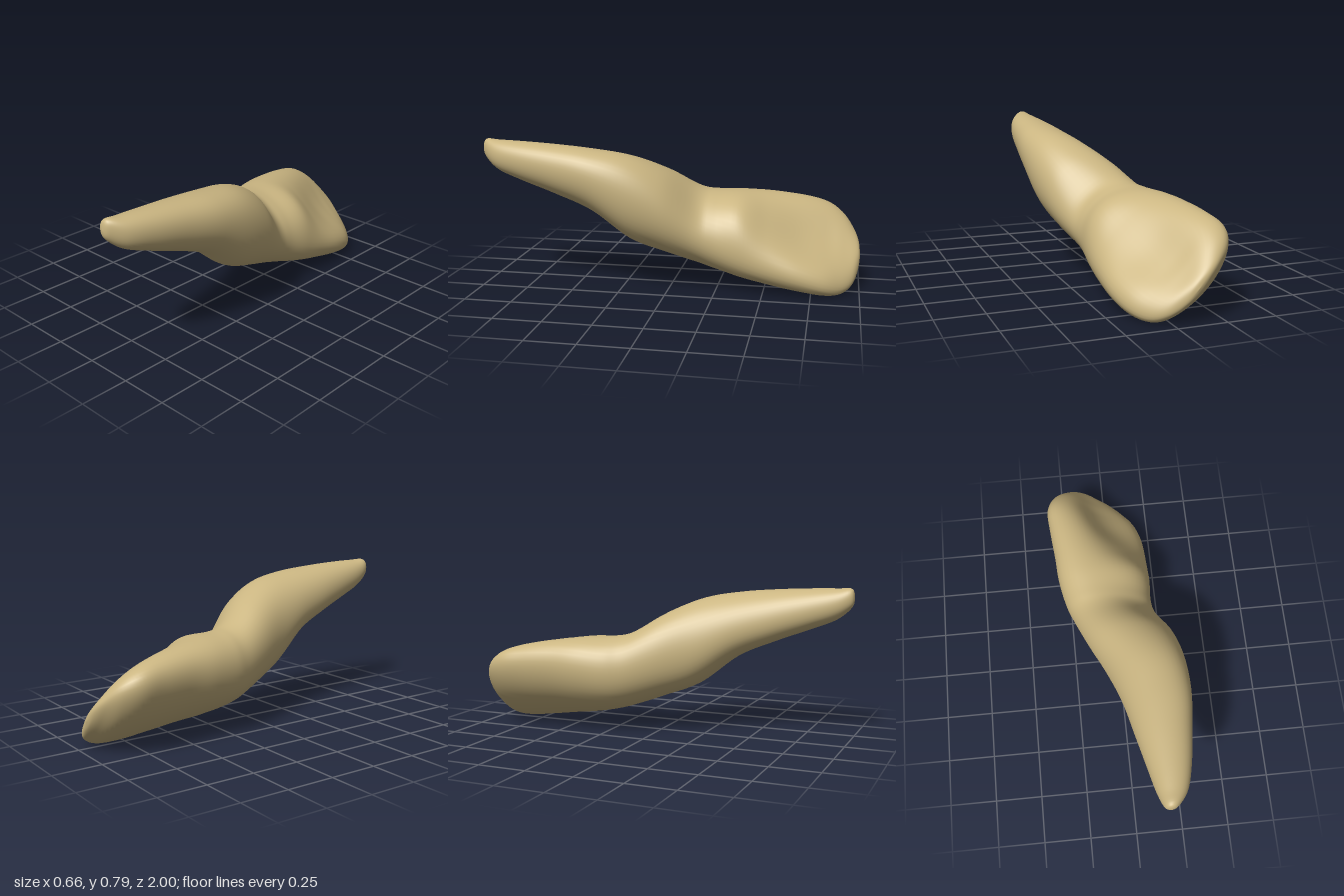
import * as THREE from 'three';
import { mergeVertices } from 'three/addons/utils/BufferGeometryUtils.js';

// Cross-sections along the tooth: z, xMin, xMax, yMin, yMax, skew, hollow
// skew leans the oval along a diagonal; hollow presses in the upper +x side
// (a negative hollow swells it)
const ROOT = [
  [1.0, 0.15, 0.15, 0.73, 0.73, 0.05, 0],
  [0.985, 0.118, 0.185, 0.685, 0.782, 0.05, 0],
  [0.91, 0.09, 0.24, 0.622, 0.782, 0.05, 0],
  [0.78, 0.06, 0.275, 0.568, 0.778, 0.1, 0],
  [0.6, 0.02, 0.302, 0.5, 0.768, 0.15, 0],
  [0.4, -0.025, 0.325, 0.412, 0.75, 0.18, 0],
  [0.2, -0.09, 0.32, 0.26, 0.715, 0.16, 0],
  [0.02, -0.17, 0.285, 0.187, 0.64, 0.1, 0.01],
  [-0.14, -0.235, 0.225, 0.13, 0.54, 0, 0.04],
];
const CROWN = [
  [-0.24, -0.272, 0.205, 0.1, 0.512, -0.12, 0.015],
  [-0.38, -0.3, 0.21, 0.068, 0.503, -0.27, -0.015],
  [-0.52, -0.31, 0.213, 0.045, 0.492, -0.38, 0.04],
  [-0.68, -0.325, 0.207, 0.02, 0.468, -0.47, 0.1],
  [-0.81, -0.33, 0.172, 0.003, 0.43, -0.58, 0.1],
  [-0.9, -0.29, 0.11, 0.006, 0.37, -0.7, 0.06],
  [-0.96, -0.22, 0.04, 0.045, 0.295, -0.82, 0.02],
  [-0.99, -0.16, -0.04, 0.105, 0.235, -0.86, 0],
  [-1.0, -0.1, -0.1, 0.17, 0.17, -0.86, 0],
];
const SIDES = 48;
const STEPS = 6;
const FULLNESS = 0.03; // swells the ovals slightly at their diagonals

// Smooth value between stations
function blend(p0, p1, p2, p3, t) {
  const v0 = (p2 - p0) / 2, v1 = (p3 - p1) / 2;
  return (2 * p1 - 2 * p2 + v0 + v1) * t ** 3
    + (3 * p2 - 3 * p1 - 2 * v0 - v1) * t ** 2 + v0 * t + p1;
}

function sectionAt(keys, u) {
  const last = keys.length - 1;
  const i = Math.min(Math.floor(u), last - 1);
  const k = (n) => keys[Math.max(0, Math.min(last, n))];
  return keys[0].map((_, c) => blend(k(i - 1)[c], k(i)[c], k(i + 1)[c], k(i + 2)[c], u - i));
}

function toothGeometry() {
  const keys = [...ROOT, ...CROWN];
  const rows = (keys.length - 1) * STEPS;
  const positions = [], index = [];
  for (let i = 0; i <= rows; i++) {
    const [z, x0, x1, y0, y1, skew, hollow] = sectionAt(keys, i / STEPS);
    const phase = Math.asin(skew);
    // parameter angle at the middle of the hollowed face
    const mid = Math.PI / 4 - phase / 2;
    for (let j = 0; j < SIDES; j++) {
      const a = (j / SIDES) * Math.PI * 2;
      const d = Math.atan2(Math.sin(a - mid), Math.cos(a - mid));
      const press = hollow * 0.7 * Math.exp(-((d / 0.68) ** 2));
      const swell = 1 + FULLNESS * Math.sin(2 * a + phase) ** 2;
      positions.push(
        (x0 + x1) / 2 + ((x1 - x0) / 2) * swell * Math.cos(a) - press,
        (y0 + y1) / 2 + ((y1 - y0) / 2) * swell * Math.sin(a + phase) - press,
        z
      );
    }
  }
  // the end rows close to a point, so they need one triangle per side
  for (let i = 0; i < rows; i++) {
    for (let j = 0; j < SIDES; j++) {
      const a = i * SIDES + j, b = i * SIDES + ((j + 1) % SIDES);
      const c = a + SIDES, d = b + SIDES;
      if (i < rows - 1) index.push(b, c, d);
      if (i > 0) index.push(a, c, b);
    }
  }
  const geometry = new THREE.BufferGeometry();
  geometry.setAttribute('position', new THREE.Float32BufferAttribute(positions, 3));
  geometry.setIndex(index);
  const welded = mergeVertices(geometry, 1e-5);
  welded.computeVertexNormals();
  return welded;
}

export function createModel() {
  const group = new THREE.Group();
  group.name = 'tooth';
  const ivory = new THREE.MeshStandardMaterial({ color: 0xcbb682 });
  ivory.name = 'ivory';
  const tooth = new THREE.Mesh(toothGeometry(), ivory);
  tooth.name = 'rootAndCrown';
  group.add(tooth);
  return group;
}
